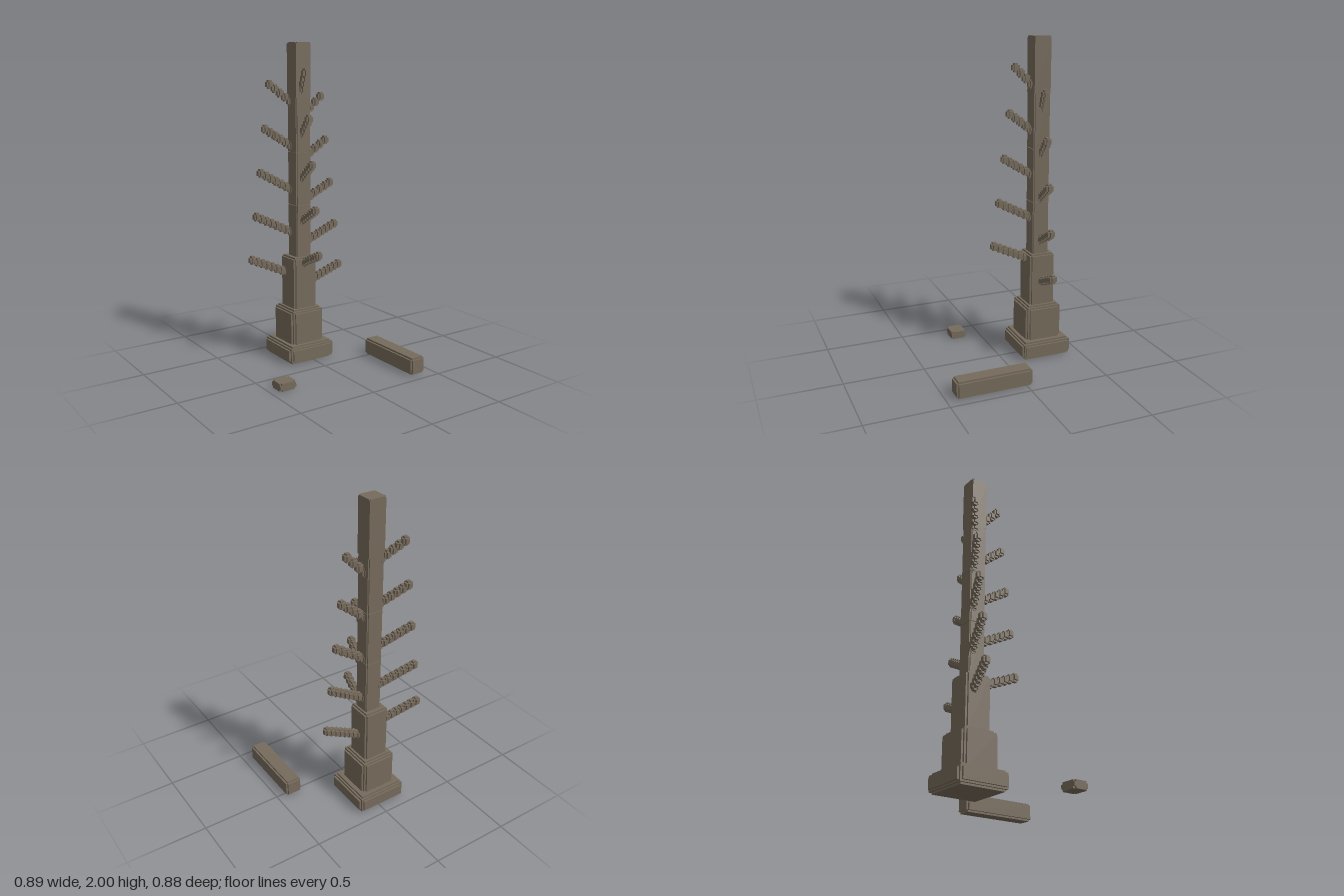
import * as THREE from 'three';
import { mergeGeometries } from 'three/addons/utils/BufferGeometryUtils.js';

const V = 0.0115; // one block step

// Inset patterns (x, y, z) whose union makes stepped edges
const CORNERS = [[1, 0, 0], [0, 1, 0], [0, 0, 1]];
const EDGES = [[0, 1, 1], [1, 0, 1], [1, 1, 0]];
const WIDE_EDGES = [[0, 2, 2], [2, 0, 2], [2, 2, 0], [1, 1, 1]];

// Block with stepped edges between two opposite corners
function block(min, max, insets, step = V) {
  const size = max.map((m, i) => m - min[i]);
  const mid = max.map((m, i) => (m + min[i]) / 2);
  return mergeGeometries(insets.map((k) =>
    new THREE.BoxGeometry(...size.map((s, i) => s - 2 * step * k[i])).translate(...mid)));
}

// Branch: a run of overlapping notched blocks climbing from start to tip
function branch(start, tip) {
  const a = new THREE.Vector3(...start), b = new THREE.Vector3(...tip);
  const run = Math.hypot(b.x - a.x, b.z - a.z);
  const n = Math.max(3, Math.round(run / 0.031));
  const parts = [];
  for (let i = 0; i <= n; i++) {
    const p = a.clone().lerp(b, i / n).toArray();
    const h = [0.023, 0.027, 0.023];
    parts.push(block(p.map((v, j) => v - h[j]), p.map((v, j) => v + h[j]), EDGES));
  }
  return mergeGeometries(parts);
}

export function createModel() {
  const group = new THREE.Group();
  const bark = new THREE.MeshStandardMaterial({ color: 0x766b5c });
  bark.name = 'weathered bark';
  const add = (name, geometry) => {
    const mesh = new THREE.Mesh(geometry, bark);
    mesh.name = name;
    group.add(mesh);
  };

  // Flared foot and lower trunk
  add('trunkFoot', block([-0.183, 0, -0.438], [0.147, 0.115, -0.108], WIDE_EDGES));
  add('trunkLower', block([-0.139, 0.085, -0.389], [0.097, 0.337, -0.152], WIDE_EDGES));
  add('trunkMiddle', block([-0.102, 0.325, -0.352], [0.061, 0.667, -0.188], EDGES));

  // Slender upper trunk sections
  for (let i = 0; i < 4; i++) {
    const y = 0.667 + i / 3;
    add('trunkUpper' + (i + 1), block([-0.068, y - 0.008, -0.317], [0.038, i === 3 ? 2 : y + 0.336, -0.212],
      i === 3 ? CORNERS : EDGES, 0.007));
  }

  // Five tiers of three branches, shortening upwards
  for (let i = 0; i < 5; i++) {
    const rise = 0.274 * i, cut = 0.0345 * i;
    add('leftBranch' + (i + 1), branch([0.03, 0.475 + rise, -0.27], [0.265 - cut, 0.575 + rise, -0.24]));
    add('rightBranch' + (i + 1), branch([-0.06, 0.545 + rise, -0.295], [-0.303 + cut, 0.65 + rise, -0.368]));
    add('frontBranch' + (i + 1), branch([-0.02, 0.622 + rise, -0.215], [-0.055, 0.718 + rise, 0.01 - cut]));
  }

  // Fallen log and loose chunk on the ground
  add('fallenLog', block([0.338, 0, -0.036], [0.443, 0.106, 0.438], EDGES));
  add('looseChunk', block([-0.447, 0, 0.105], [-0.34, 0.048, 0.2], CORNERS));
  return group;
}
